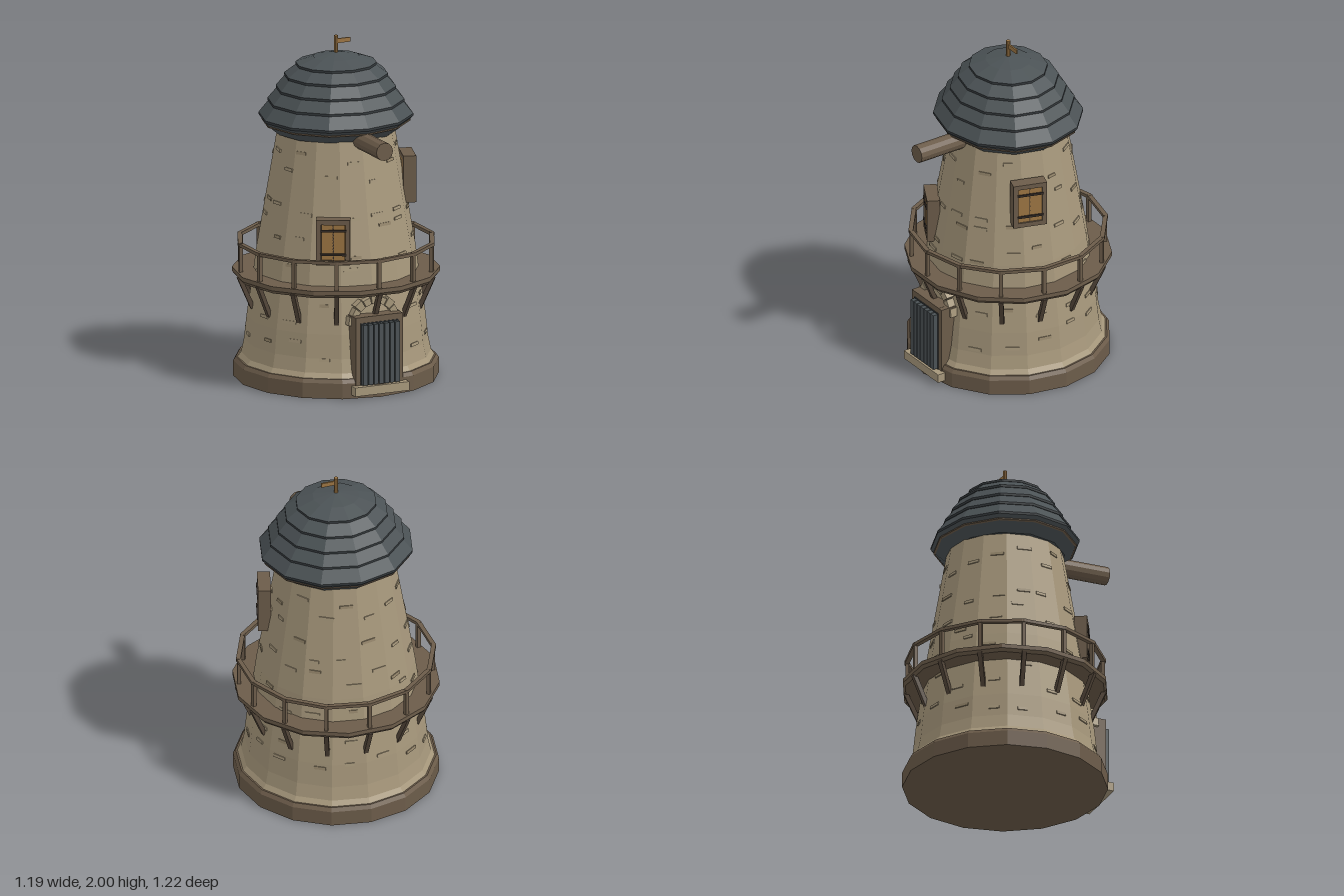
import * as THREE from 'three';

const mat = (name, color) => {
  const m = new THREE.MeshStandardMaterial({ color });
  m.name = name;
  return m;
};

export function createModel() {
  const stone = mat('stone', 0xa6977b);
  const brick = mat('brick', 0x96876c);
  const timber = mat('timber', 0x6c5c4a);
  const darkTimber = mat('darkTimber', 0x54473a);
  const slate = mat('slate', 0x4b5255);
  const slateEdge = mat('slateEdge', 0x34393c);
  const shutterWood = mat('shutterWood', 0x9c7543);
  const iron = mat('iron', 0x332b26);

  const model = new THREE.Group();
  model.name = 'towerMill';
  const mill = new THREE.Group();
  mill.name = 'mill';
  mill.position.z = -0.02;
  model.add(mill);

  // Flat-shaded mesh helpers
  const add = (parent, name, geo, material, x = 0, y = 0, z = 0) => {
    const g = geo.index ? geo.toNonIndexed() : geo;
    g.computeVertexNormals();
    const m = new THREE.Mesh(g, material);
    m.name = name;
    m.position.set(x, y, z);
    parent.add(m);
    return m;
  };
  const box = (parent, name, w, h, d, material, x, y, z) =>
    add(parent, name, new THREE.BoxGeometry(w, h, d), material, x, y, z);
  const lathe = (parent, name, pts, sides, material) =>
    add(parent, name, new THREE.LatheGeometry(pts.map(p => new THREE.Vector2(...p)), sides), material);
  // Pivot whose +z points outward at the given angle
  const pivot = (name, angle) => {
    const g = new THREE.Group();
    g.name = name;
    g.rotation.y = angle;
    mill.add(g);
    return g;
  };
  const beam = (parent, name, a, b, w, material) => {
    const from = new THREE.Vector3(...a), to = new THREE.Vector3(...b);
    const m = box(parent, name, w, w, from.distanceTo(to), material, 0, 0, 0);
    m.position.copy(from).add(to).multiplyScalar(0.5);
    m.quaternion.setFromUnitVectors(new THREE.Vector3(0, 0, 1), to.sub(from).normalize());
    return m;
  };

  // Plinth and tapering sixteen-sided wall
  lathe(mill, 'plinth', [[0, 0], [0.59, 0], [0.59, 0.09], [0.575, 0.112], [0.5, 0.112]], 16, timber);
  const wall = [[0.57, 0.105], [0.545, 0.14], [0.528, 0.22], [0.513, 0.36], [0.475, 0.62], [0.455, 0.77], [0.335, 1.47]];
  lathe(mill, 'wall', wall, 16, stone);
  const wallRadius = y => {
    let i = 1;
    while (i < wall.length - 1 && wall[i][1] < y) i++;
    const [r0, y0] = wall[i - 1], [r1, y1] = wall[i];
    return r0 + (r1 - r0) * (y - y0) / (y1 - y0);
  };

  // Loose bricks scattered over the wall faces
  let seed = 7;
  const rand = () => (seed = (seed * 16807) % 2147483647) / 2147483647;
  for (let i = 0; i < 96; i++) {
    const side = i % 16;
    const y = 0.2 + 1.18 * ((Math.floor(i / 16) + rand()) / 6);
    const p = pivot('brickPivot', (side + 0.5) * Math.PI / 8);
    const b = box(p, 'brick', 0.05 + 0.04 * rand(), 0.018, 0.012, i % 3 ? stone : brick,
      (rand() - 0.5) * 0.07, y, wallRadius(y) * Math.cos(Math.PI / 16));
    b.rotation.x = -0.16;
  }

  // Gallery deck, with posts, braces and rail
  const deck = lathe(mill, 'galleryDeck',
    [[0.44, 0.592], [0.582, 0.592], [0.596, 0.61], [0.596, 0.635], [0.44, 0.635]], 14, timber);
  deck.rotation.y = Math.PI / 14;
  const N = 14;
  const railPoint = (k, r, y) => {
    const a = k * Math.PI * 2 / N;
    return [Math.sin(a) * r, y, Math.cos(a) * r];
  };
  for (let k = 0; k < N; k++) {
    const p = pivot('galleryBay', k * Math.PI * 2 / N);
    box(p, 'railPost', 0.022, 0.17, 0.022, timber, 0, 0.71, 0.56);
    beam(p, 'deckBrace', [0, 0.42, 0.49], [0, 0.605, 0.57], 0.026, darkTimber);
  }
  const rail = lathe(mill, 'handRail',
    [[0.55, 0.787], [0.577, 0.787], [0.577, 0.806], [0.55, 0.806], [0.55, 0.787]], N, timber);
  rail.scale.y = 1;

  // Lapped twelve-sided cap, slightly narrower front to back
  const cap = new THREE.Group();
  cap.name = 'cap';
  cap.scale.z = 0.94;
  mill.add(cap);
  lathe(cap, 'capUnderside', [[0.3, 1.45], [0.36, 1.45], [0.425, 1.505], [0.45, 1.53]], 12, slate);
  lathe(cap, 'eaveTrim', [[0.422, 1.498], [0.434, 1.503], [0.434, 1.51], [0.425, 1.512]], 12, timber);
  const rows = [[0.45, 1.53], [0.398, 1.615], [0.35, 1.69], [0.302, 1.765], [0.236, 1.83], [0.137, 1.88], [0, 1.905]];
  for (let i = 0; i < rows.length - 1; i++) {
    const [r, y] = rows[i], [r2, y2] = rows[i + 1];
    const lip = i < 5 ? 0.014 : 0;
    const inner = Math.max(r2 - 0.008, 0);
    if (lip) lathe(cap, 'slateLip', [[r - 0.02, y - 0.002], [r, y], [r, y + lip]], 12, slateEdge);
    lathe(cap, 'slateRow', [[r, y + lip], [inner, y2 + (i < 4 ? 0.004 : 0)]], 12, slate);
  }

  // Windshaft
  const shaft = add(mill, 'windshaft', new THREE.CylinderGeometry(0.053, 0.053, 0.5, 12), timber, 0, 1.457, 0.385);
  shaft.rotation.x = Math.PI / 2;

  // Weather vane
  add(mill, 'vanePole', new THREE.CylinderGeometry(0.013, 0.013, 0.12, 8), shutterWood, 0, 1.94, 0);
  box(mill, 'vaneFlag', 0.085, 0.026, 0.01, shutterWood, 0.047, 1.967, 0);

  // Shuttered windows: angle, centre height, outer radius, size
  const addWindow = (angle, y, r, w, h) => {
    const p = pivot('window', angle);
    const t = 0.028, d = 0.075;
    for (const s of [-1, 1]) {
      box(p, 'windowJamb', t, h, d, timber, s * (w - t) / 2, y, r - d / 2);
      box(p, 'windowRail', w - 2 * t, t, d, timber, 0, y + s * (h - t) / 2, r - d / 2);
      box(p, 'shutter', (w - 2 * t) / 2 - 0.003, h - 2 * t, d - 0.01, shutterWood,
        s * (w - 2 * t) / 4, y, r - d / 2 - 0.005);
      box(p, 'shutterStrap', w - 2 * t + 0.012, 0.013, 0.008, iron, 0, y + s * 0.07, r + 0.001);
    }
    box(p, 'shutterGap', 0.008, h - 2 * t, 0.05, iron, 0, y, r - 0.035);
  };
  addWindow(-28 * Math.PI / 180, 0.895, 0.478, 0.195, 0.265);
  addWindow(72 * Math.PI / 180, 1.16, 0.45, 0.2, 0.275);

  // Doorway with planked door
  const door = pivot('doorway', 0);
  for (const s of [-1, 1]) box(door, 'doorJamb', 0.03, 0.415, 0.12, timber, s * 0.135, 0.267, 0.505);
  box(door, 'doorLintel', 0.24, 0.04, 0.12, timber, 0, 0.455, 0.505);
  box(door, 'doorBacking', 0.24, 0.37, 0.09, slateEdge, 0, 0.255, 0.525);
  for (let i = -3; i <= 3; i++)
    box(door, 'doorPlank', 0.028, 0.355, 0.03, slate, i * 0.034, 0.257, 0.583);
  box(door, 'doorStep', 0.345, 0.052, 0.1, stone, 0, 0.048, 0.555);

  // Arch of wedge stones above the door
  for (let i = 0; i < 9; i++) {
    const a0 = Math.PI * (i + 0.06) / 9, a1 = Math.PI * (i + 0.94) / 9;
    const outer = i % 2 ? 0.158 : 0.17;
    const s = new THREE.Shape();
    s.moveTo(Math.cos(a0) * 0.118, Math.sin(a0) * 0.118);
    s.lineTo(Math.cos(a0) * outer, Math.sin(a0) * outer);
    s.lineTo(Math.cos(a1) * outer, Math.sin(a1) * outer);
    s.lineTo(Math.cos(a1) * 0.118, Math.sin(a1) * 0.118);
    add(door, 'archStone', new THREE.ExtrudeGeometry(s, { depth: 0.1, bevelEnabled: false }), stone, 0, 0.415, 0.412);
  }

  // Fourteen straight cap pieces close the rail corners
  for (let k = 0; k < N; k++) {
    const [x, y, z] = railPoint(k, 0.563, 0.797);
    const c = box(mill, 'railCorner', 0.026, 0.02, 0.024, timber, x, y, z);
    c.rotation.y = k * Math.PI * 2 / N;
  }
  return model;
}
